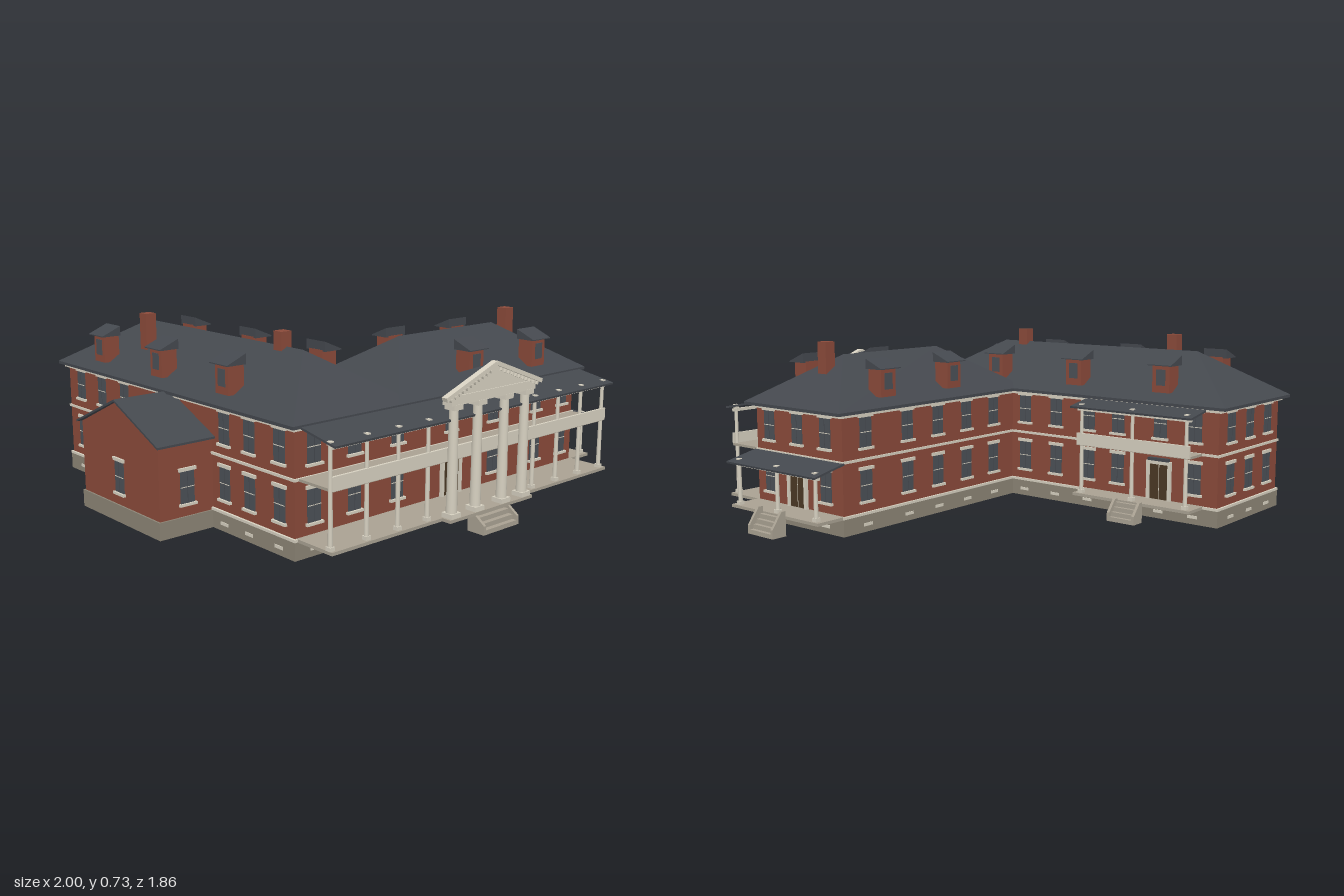
import * as THREE from 'three';

const mat = (name, color, side = THREE.FrontSide) => {
  const m = new THREE.MeshStandardMaterial({ color, side });
  m.name = name;
  return m;
};
const brick = mat('brick', 0x8a4a3a, THREE.DoubleSide);
const slate = mat('slate', 0x44484e, THREE.DoubleSide);
const trim = mat('trim', 0xd6d0c0);
const stone = mat('stone', 0x8b8475);
const steps = mat('steps', 0xa9a192);
const glass = mat('glass', 0x4b5056);
const wood = mat('wood', 0x4a3824);

const mesh = (parent, name, geo, m) => {
  const o = new THREE.Mesh(geo, m);
  o.name = name;
  parent.add(o);
  return o;
};
const box = (parent, name, m, w, h, d, x, y, z) => {
  const o = mesh(parent, name, new THREE.BoxGeometry(w, h, d), m);
  o.position.set(x, y, z);
  return o;
};
const S = 0, E = Math.PI / 2, N = Math.PI, W = -Math.PI / 2;
// group whose local +z points out of a wall
const place = (parent, name, x, z, turn, y = 0) => {
  const g = new THREE.Group();
  g.name = name;
  g.position.set(x, y, z);
  g.rotation.y = turn;
  parent.add(g);
  return g;
};
// flat-faced geometry from polygons, each a list of corners
const faces = (polys) => {
  const p = [];
  for (const f of polys)
    for (let i = 1; i < f.length - 1; i++) p.push(...f[0], ...f[i], ...f[i + 1]);
  const g = new THREE.BufferGeometry();
  g.setAttribute('position', new THREE.Float32BufferAttribute(p, 3));
  g.computeVertexNormals();
  return g;
};
const edges = (pts) => pts.map((a, i) => [a, pts[(i + 1) % pts.length]]);

// open-bottomed wall shell around an outline of [x, z]
const shell = (parent, name, pts, h) => mesh(parent, name, faces(edges(pts).map(([a, b]) =>
  [[a[0], 0, a[1]], [b[0], 0, b[1]], [b[0], h, b[1]], [a[0], h, a[1]]])), brick);

// band running round the outside of an outline
const band = (parent, name, m, pts, y, h, t) => {
  for (const [a, b] of edges(pts)) {
    const dx = b[0] - a[0], dz = b[1] - a[1], len = Math.hypot(dx, dz);
    box(parent, name, m, dx ? len + 2 * t : t, h, dz ? len + 2 * t : t,
      (a[0] + b[0]) / 2 - (dz / len) * t / 2, y, (a[1] + b[1]) / 2 + (dx / len) * t / 2);
  }
};

// hipped roof with fascia; ridge given by its two ends
const hipRoof = (parent, name, x0, x1, z0, z1, r0, r1) => {
  const y = 0.485, b = 0.473;
  const c = [[x0, z1], [x1, z1], [x1, z0], [x0, z0]];
  const near = (p) => (Math.hypot(p[0] - r0[0], p[1] - r0[2]) < Math.hypot(p[0] - r1[0], p[1] - r1[2]) ? r0 : r1);
  const polys = [];
  for (const [p, q] of edges(c)) {
    const P = [p[0], y, p[1]], Q = [q[0], y, q[1]], a = near(p), d = near(q);
    polys.push(a === d ? [P, Q, a] : [P, Q, d, a]);
    polys.push([[p[0], b, p[1]], [q[0], b, q[1]], Q, P]);
  }
  mesh(parent, name, faces(polys), slate);
};

const addWindow = (parent, x, z, turn, y, h = 0.125) => {
  const g = place(parent, 'window', x, z, turn, y);
  box(g, 'pane', glass, 0.06, h, 0.008, 0, 0, 0);
  box(g, 'meetingRail', trim, 0.06, 0.003, 0.002, 0, 0, 0.004);
  box(g, 'muntin', slate, 0.002, h, 0.002, 0, 0, 0.004);
  box(g, 'sill', trim, 0.076, 0.01, 0.012, 0, -h / 2 - 0.004, 0.006);
  box(g, 'lintel', trim, 0.076, 0.013, 0.008, 0, h / 2 + 0.005, 0.004);
};

const addDoor = (parent, x, z, turn) => {
  const g = place(parent, 'door', x, z, turn);
  box(g, 'doorLeaves', wood, 0.09, 0.145, 0.01, 0, 0.152, 0.001);
  box(g, 'doorSplit', trim, 0.002, 0.145, 0.002, 0, 0.152, 0.006);
  for (const s of [-1, 1]) box(g, 'doorJamb', trim, 0.013, 0.15, 0.014, s * 0.05, 0.154, 0.007);
  box(g, 'doorHead', trim, 0.113, 0.014, 0.016, 0, 0.234, 0.008);
  box(g, 'doorHood', slate, 0.095, 0.012, 0.018, 0, 0.247, 0.009);
};

// one row per storey, doors replacing the lower window where wanted
const bays = (parent, list, spot, turn, door) => {
  for (const t of list) {
    const [x, z] = spot(t);
    if (t === door) addDoor(parent, x, z, turn);
    else addWindow(parent, x, z, turn, 0.185);
    addWindow(parent, x, z, turn, 0.395, 0.12);
    const v = place(parent, 'vent', x, z, turn, 0.03);
    box(v, 'ventPlate', trim, 0.045, 0.012, 0.004, 0, 0, 0.008);
  }
};

// porch with deck, posts, sloping roof and optional balcony
const porch = (parent, name, x, z, turn, o) => {
  const g = place(parent, name, x, z, turn);
  const d = o.depth;
  box(g, 'deck', steps, o.width, 0.012, d, 0, 0.073, d / 2);
  const run = o.roofDepth, drop = o.yWall - o.yEdge;
  const roof = box(g, 'porchRoof', slate, o.roofWidth, 0.008, Math.hypot(run, drop), 0, (o.yWall + o.yEdge) / 2, run / 2);
  roof.rotation.x = Math.atan2(drop, run);
  const zp = o.postZ, top = o.yWall - drop * zp / run + 0.006;
  for (const px of o.posts) {
    const post = mesh(g, 'post', new THREE.CylinderGeometry(0.007, 0.009, top - 0.08, 10), trim);
    post.position.set(px, (top + 0.08) / 2, zp);
    box(g, 'postBase', trim, 0.022, 0.014, 0.022, px, 0.086, zp);
    box(g, 'postCapital', trim, 0.018, 0.014, 0.018, px, top - 0.006, zp);
  }
  box(g, 'porchBeam', trim, o.width - 0.02, 0.012, 0.012, 0, top - 0.022, zp);
  if (o.balcony) {
    box(g, 'balconyFloor', steps, o.width - 0.02, 0.01, zp + 0.008, 0, 0.287, (zp + 0.008) / 2);
    box(g, 'balconyParapet', trim, o.width - 0.02, 0.05, 0.01, 0, 0.31, zp + 0.006);
  }
  // stairs with sloping cheek walls
  const st = o.stair, n = 4;
  for (let i = 0; i < n; i++) {
    const h = 0.072 * (n - i) / n;
    box(g, 'stairTread', steps, st.width - 0.02, h, st.run / n, st.x, h / 2, st.z + (i + 0.5) * st.run / n);
  }
  const prof = new THREE.Shape([[0, 0], [st.run, 0], [st.run, 0.035], [st.run * 0.3, st.top], [0, st.top]]
    .map((p) => new THREE.Vector2(...p)));
  for (const s of [-1, 1]) {
    const c = mesh(g, 'stairCheek', new THREE.ExtrudeGeometry(prof, { depth: 0.012, bevelEnabled: false }), steps);
    c.rotation.y = -Math.PI / 2;
    c.position.set(st.x + s * (st.width / 2 - 0.006) + 0.006, 0, st.z);
  }
};

// dormer whose shed roof slopes outwards
const addDormer = (parent, x, z, turn) => {
  const g = place(parent, 'dormer', x, z, turn);
  box(g, 'dormerWalls', brick, 0.08, 0.115, 0.07, 0, 0.5775, -0.008);
  box(g, 'dormerWindow', glass, 0.042, 0.065, 0.006, 0, 0.582, 0.027);
  const shed = new THREE.Shape([[-0.0425, 0.63], [0.0425, 0.63], [0.0425, 0.634], [-0.0425, 0.67]]
    .map((p) => new THREE.Vector2(...p)));
  const r = mesh(g, 'dormerRoof', new THREE.ExtrudeGeometry(shed, { depth: 0.11, bevelEnabled: false }), slate);
  r.rotation.y = -Math.PI / 2;
  r.position.x = 0.055;
};

const addPortico = (parent) => {
  const g = place(parent, 'portico', 0.025, 0, S);
  for (const x of [-0.2, -0.07, 0.08, 0.2]) {
    const c = mesh(g, 'column', new THREE.CylinderGeometry(0.017, 0.021, 0.4, 16), trim);
    c.position.set(x, 0.295, 0.857);
    box(g, 'columnBase', trim, 0.05, 0.018, 0.05, x, 0.088, 0.857);
    box(g, 'columnCapital', trim, 0.048, 0.02, 0.048, x, 0.492, 0.857);
  }
  box(g, 'columnPlinth', steps, 0.47, 0.012, 0.06, 0, 0.073, 0.855);
  box(g, 'entablature', trim, 0.47, 0.035, 0.045, 0, 0.517, 0.857);
  const tri = new THREE.Shape([[-0.25, 0.53], [0.25, 0.53], [0, 0.625]].map((p) => new THREE.Vector2(...p)));
  const ped = mesh(g, 'pediment', new THREE.ExtrudeGeometry(tri, { depth: 0.012, bevelEnabled: false }), trim);
  ped.position.z = 0.863;
  const slope = Math.atan2(0.1, 0.265);
  for (const s of [-1, 1]) {
    const rake = box(g, 'rake', trim, 0.285, 0.016, 0.025, s * 0.134, 0.578, 0.873);
    rake.rotation.z = -s * slope;
    for (let i = 0; i < 11; i++) {
      const t = 0.03 + i * 0.021;
      box(g, 'dentil', trim, 0.009, 0.012, 0.012, s * t, 0.612 - t * 0.377, 0.879).rotation.z = -s * slope;
    }
  }
  // roof falling from the pediment peak towards the house
  const L = [-0.25, 0.535, 0.87], R = [0.25, 0.535, 0.87], A = [0, 0.63, 0.875];
  const BL = [-0.25, 0.535, 0.655], BR = [0.25, 0.535, 0.655];
  mesh(g, 'porticoRoof', faces([[L, A, BL], [BL, A, BR], [BR, A, R], [L, BL, BR, R]]), slate);
};

export function createModel() {
  const house = new THREE.Group();
  house.name = 'house';

  // walls, foundation and string courses of the L-shaped block
  const plan = [[-0.75, 0.66], [0.8, 0.66], [0.8, 0.15], [-0.23, 0.15], [-0.23, -0.89], [-0.75, -0.89]];
  shell(house, 'mainWalls', plan, 0.478);
  band(house, 'foundation', stone, plan, 0.034, 0.068, 0.007);
  band(house, 'waterTable', trim, plan, 0.073, 0.01, 0.009);
  band(house, 'stringCourse', trim, plan, 0.288, 0.01, 0.006);
  band(house, 'cornice', trim, plan, 0.468, 0.014, 0.014);
  hipRoof(house, 'longRoof', -0.78, -0.2, -0.93, 0.69, [-0.49, 0.673, -0.64], [-0.49, 0.673, 0.4]);
  hipRoof(house, 'wingRoof', -0.285, 0.84, 0.12, 0.69, [0, 0.673, 0.405], [0.555, 0.673, 0.405]);

  // side annex with gable roof
  const annex = [[-0.985, 0.18], [-0.75, 0.18], [-0.75, -0.36], [-0.985, -0.36]];
  shell(house, 'annexWalls', annex, 0.352);
  mesh(house, 'annexGable', faces([[[-0.985, 0.35, -0.36], [-0.985, 0.35, 0.18], [-0.985, 0.472, -0.09]]]), brick);
  band(house, 'annexFoundation', stone, annex, 0.034, 0.068, 0.007);
  const za = 0.29;
  const gable = new THREE.Shape([[-za, 0.345], [0, 0.472], [za, 0.345], [za, 0.353], [0, 0.481], [-za, 0.353]]
    .map((p) => new THREE.Vector2(...p)));
  const roof = mesh(house, 'annexRoof', new THREE.ExtrudeGeometry(gable, { depth: 0.255, bevelEnabled: false }), slate);
  roof.rotation.y = -Math.PI / 2;
  roof.position.set(-0.745, 0, -0.09);
  addWindow(house, -0.865, 0.18, S, 0.18);
  addWindow(house, -0.865, -0.36, N, 0.18);
  addWindow(house, -0.985, -0.09, W, 0.18);

  // windows and doors on every side
  bays(house, [-0.665, -0.475, -0.26, 0.03, 0.28, 0.55, 0.725], (t) => [t, 0.66], S, 0.03);
  bays(house, [0.58, 0.41, 0.245], (t) => [0.8, t], E, 0.41);
  bays(house, [0.075, -0.097, -0.27, -0.42, -0.625, -0.785], (t) => [-0.23, t], E, -0.625);
  bays(house, [-0.09, 0.09, 0.27, 0.45, 0.68], (t) => [t, 0.15], N);
  bays(house, [-0.65, -0.49, -0.33], (t) => [t, -0.89], N);
  bays(house, [0.58, 0.41, 0.26, -0.43, -0.61, -0.785], (t) => [-0.75, t], W);

  // porches
  porch(house, 'frontPorch', 0.03, 0.66, S, {
    width: 1.55, depth: 0.185, roofWidth: 1.55, roofDepth: 0.2, yWall: 0.48, yEdge: 0.442, postZ: 0.165, balcony: true,
    posts: [-0.765, -0.6, -0.45, -0.3, 0.3, 0.45, 0.6, 0.75], stair: { x: 0, z: 0.185, run: 0.08, width: 0.2, top: 0.075 },
  });
  porch(house, 'sidePorch', 0.8, 0.405, E, {
    width: 0.52, depth: 0.135, roofWidth: 0.53, roofDepth: 0.15, yWall: 0.285, yEdge: 0.252, postZ: 0.115,
    posts: [-0.23, 0.005, 0.23], stair: { x: 0, z: 0.135, run: 0.065, width: 0.15, top: 0.1 },
  });
  porch(house, 'courtPorch', -0.23, -0.55, E, {
    width: 0.56, depth: 0.115, roofWidth: 0.575, roofDepth: 0.13, yWall: 0.468, yEdge: 0.445, postZ: 0.095, balcony: true,
    posts: [-0.25, 0, 0.25], stair: { x: 0, z: 0.115, run: 0.06, width: 0.13, top: 0.085 },
  });
  addPortico(house);

  // dormers and chimneys
  for (const z of [-0.62, -0.185, 0.25]) {
    addDormer(house, -0.722, z, W);
    addDormer(house, -0.258, z, E);
  }
  for (const x of [0.17, 0.555]) {
    addDormer(house, x, 0.633, S);
    addDormer(house, x, 0.172, N);
  }
  for (const [x, z] of [[-0.61, -0.457], [-0.49, 0.28], [0.64, 0.41]])
    box(house, 'chimney', brick, 0.048, 0.19, 0.048, x, 0.635, z);
  return house;
}
